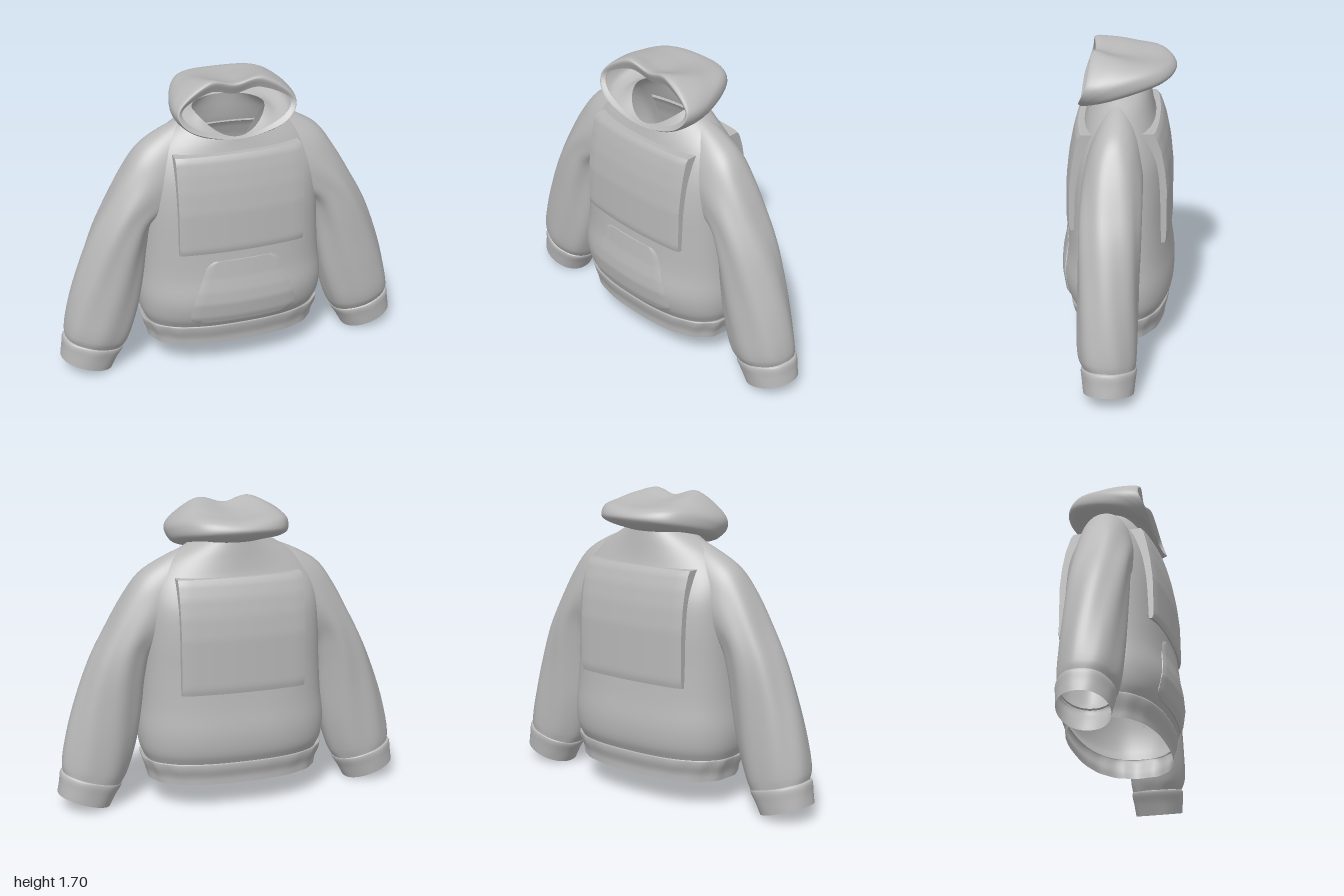
import * as THREE from 'three';

const N = 72; // points around every ring
const fabric = new THREE.MeshStandardMaterial({ color: 0xb8b8b8, side: THREE.DoubleSide });
fabric.name = 'grey fabric';

const V = (x, y, z) => new THREE.Vector3(x, y, z);
const angles = Array.from({ length: N }, (_, i) => (i / N) * Math.PI * 2);
const pow = (v, e) => Math.sign(v) * Math.abs(v) ** e;

// Linear lookup in a list of [key, value] pairs
function lookup(table, k) {
  for (let i = 1; i < table.length; i++) {
    const [a, va] = table[i - 1], [b, vb] = table[i];
    if (k <= b) return va + (vb - va) * Math.max(0, (k - a) / (b - a));
  }
  return table[table.length - 1][1];
}

// Adds in-between rings along a smooth curve through matching points
function smooth(rings, steps) {
  const columns = angles.map((_, i) => new THREE.CatmullRomCurve3(rings.map((r) => r[i])));
  const total = (rings.length - 1) * steps;
  return Array.from({ length: total + 1 }, (_, j) => columns.map((c) => c.getPoint(j / total)));
}

// Skin over closed rings, each running front -> left -> back -> right
function loft(name, rings) {
  const pos = [], idx = [];
  rings.forEach((r) => r.forEach((p) => pos.push(p.x, p.y, p.z)));
  for (let j = 0; j < rings.length - 1; j++) {
    for (let i = 0; i < N; i++) {
      const k = (i + 1) % N, a = j * N + i, b = j * N + k, c = b + N, d = a + N;
      idx.push(a, b, c, a, c, d);
    }
  }
  const geo = new THREE.BufferGeometry();
  geo.setAttribute('position', new THREE.Float32BufferAttribute(pos, 3));
  geo.setIndex(idx);
  geo.computeVertexNormals();
  const mesh = new THREE.Mesh(geo, fabric);
  mesh.name = name;
  return mesh;
}

// Horizontal body ring: height, half width, front z, back z, roundness, front drop, ripple
function bodyRing([y, w, front, back, n = 2.5, drop = 0, ripple = 0]) {
  return angles.map((a) => {
    const s = pow(Math.sin(a), 2 / n), c = pow(Math.cos(a), 2 / n);
    const k = 1 + ripple * Math.sin(a * 16) * Math.abs(Math.sin(a));
    return V(s * w * k, y - drop * Math.max(0, Math.cos(a)) ** 2, (c > 0 ? c * front : -c * back) * k);
  });
}

// Sleeve ring from its outer and inner points and its front and back z
function sleeveRing(side, [ox, oy, ix, iy, front, back, fold = 0]) {
  const mid = (front + back) / 2, half = (front - back) / 2;
  return angles.map((a) => {
    const k = 1 + fold * Math.sin(a * 7 + oy * 5);
    const s = Math.sin(a) * k;
    return V(side * ((ox + ix) / 2 + (s * (ox - ix)) / 2), (oy + iy) / 2 + (s * (oy - iy)) / 2,
      mid + half * pow(Math.cos(a), 0.9) * k);
  });
}

// Mirrored five-point ring: front, front quarter, side, back quarter, back
function hoodRing(points) {
  const p = points.map((q) => V(...q));
  const mirror = [3, 2, 1].map((i) => V(-p[i].x, p[i].y, p[i].z));
  const curve = new THREE.CatmullRomCurve3([...p, ...mirror], true, 'catmullrom', 0.5);
  return angles.map((_, i) => curve.getPoint(i / N));
}

// Sewn-on cloth piece: bowed plate with a z profile over its height,
// softened side edges and a border that reaches back to the body
function patch(name, dir, y0, y1, width, profile, depth, bow) {
  const geo = new THREE.BoxGeometry(2, 1, 1, 20, 30, 1);
  const p = geo.attributes.position;
  for (let i = 0; i < p.count; i++) {
    const u = p.getX(i), v = p.getY(i) + 0.5, y = y0 + (y1 - y0) * v;
    const x = u * lookup(width, v);
    const edge = Math.abs(u) > 0.99 ? 0.006 : 0;
    const inset = p.getZ(i) * dir > 0 ? edge : lookup(depth, v) * (0.5 + 0.5 * u * u);
    p.setXYZ(i, x, y, dir * (lookup(profile, y) - bow * (x / 0.355) ** 2 - inset));
  }
  geo.computeVertexNormals();
  const mesh = new THREE.Mesh(geo, fabric);
  mesh.name = name;
  return mesh;
}

export function createModel() {
  const group = new THREE.Group();
  group.name = 'hooded sweatshirt';

  // Body, from the hem seam up to the neckline
  const neck = [1.5, 0.2, 0.168, -0.17, 2, 0.115];
  group.add(loft('body', smooth([
    [0.275, 0.5, 0.255, -0.275],
    [0.34, 0.525, 0.292, -0.305],
    [0.45, 0.535, 0.313, -0.315],
    [0.6, 0.518, 0.288, -0.297, 2.6],
    [0.8, 0.503, 0.272, -0.28, 2.8],
    [1.0, 0.495, 0.258, -0.272, 2.9],
    [1.15, 0.49, 0.232, -0.255, 2.8],
    [1.25, 0.475, 0.205, -0.225, 2.5],
    [1.33, 0.435, 0.182, -0.197, 2.2],
    [1.4, 0.37, 0.172, -0.184, 1.9, 0.03],
    [1.46, 0.27, 0.17, -0.176, 1.9, 0.08],
    neck,
  ].map(bodyRing), 4)));

  // Gathered hem band
  group.add(loft('hem', smooth([
    [0.275, 0.5, 0.255, -0.275],
    [0.285, 0.522, 0.272, -0.288, 2.5, 0, 0.004],
    [0.25, 0.515, 0.268, -0.288, 2.5, 0, 0.012],
    [0.2, 0.495, 0.252, -0.272, 2.5, 0, 0.012],
    [0.157, 0.488, 0.248, -0.27, 2.5, 0, 0.008],
  ].map(bodyRing).reverse(), 3)));

  // Sleeves and cuffs
  for (const side of [1, -1]) {
    const label = side > 0 ? 'left' : 'right';
    const build = (name, rows) => {
      const rings = smooth(rows.map((r) => sleeveRing(side, r)), 4);
      group.add(loft(name, side > 0 ? rings : rings.reverse()));
    };
    build(label + 'Sleeve', [
      [0.965, 0.21, 0.645, 0.13, 0.15, -0.125],
      [0.97, 0.27, 0.61, 0.19, 0.178, -0.132, 0.015],
      [0.935, 0.45, 0.55, 0.38, 0.187, -0.135, 0.02],
      [0.873, 0.65, 0.515, 0.58, 0.187, -0.135, 0.025],
      [0.79, 0.86, 0.49, 0.77, 0.187, -0.14, 0.025],
      [0.705, 1.02, 0.45, 0.9, 0.182, -0.142, 0.025],
      [0.605, 1.2, 0.34, 0.96, 0.172, -0.145, 0.015],
      [0.515, 1.325, 0.23, 1.02, 0.155, -0.14],
      [0.39, 1.405, 0.14, 1.1, 0.125, -0.125],
      [0.24, 1.47, 0.08, 1.2, 0.08, -0.08],
    ]);
    build(label + 'Cuff', [
      [1.0, 0.1, 0.71, 0.004, 0.15, -0.12],
      [0.99, 0.16, 0.675, 0.07, 0.157, -0.127, 0.008],
      [0.98, 0.22, 0.64, 0.13, 0.162, -0.132, 0.008],
      [0.965, 0.228, 0.65, 0.142, 0.15, -0.122],
    ]);
  }

  // Hood: flares from the neckline, folds back and comes round to its rolled rim
  group.add(loft('hood', smooth([
    bodyRing(neck),
    ...[
      [[0, 1.38, 0.185], [0.19, 1.425, 0.165], [0.26, 1.475, 0.02], [0.18, 1.525, -0.19], [0, 1.53, -0.25]],
      [[0, 1.385, 0.198], [0.225, 1.425, 0.19], [0.32, 1.495, 0.03], [0.23, 1.565, -0.23], [0, 1.585, -0.31]],
      [[0, 1.39, 0.203], [0.25, 1.44, 0.195], [0.34, 1.535, 0.06], [0.24, 1.62, -0.2], [0, 1.622, -0.28]],
      [[0, 1.39, 0.206], [0.255, 1.445, 0.2], [0.342, 1.555, 0.1], [0.235, 1.65, -0.08], [0, 1.637, -0.13]],
      [[0, 1.39, 0.21], [0.258, 1.45, 0.205], [0.335, 1.565, 0.135], [0.2, 1.68, 0.04], [0, 1.652, 0.03]],
      [[0, 1.39, 0.214], [0.255, 1.45, 0.208], [0.322, 1.565, 0.168], [0.15, 1.692, 0.145], [0, 1.667, 0.13]],
      [[0, 1.395, 0.2], [0.235, 1.465, 0.185], [0.3, 1.56, 0.155], [0.14, 1.635, 0.125], [0, 1.605, 0.105]],
    ].map(hoodRing),
  ], 5)));

  // Large panels on chest and back
  group.add(patch('chestPanel', 1, 0.755, 1.31, [[0, 0.355], [1, 0.355]],
    [[0.755, 0.284], [0.78, 0.292], [1.0, 0.288], [1.12, 0.274], [1.22, 0.255], [1.29, 0.237], [1.31, 0.222]],
    [[0, 0.04], [0.6, 0.045], [1, 0.085]], 0.028));
  group.add(patch('backPanel', -1, 0.69, 1.32, [[0, 0.35], [1, 0.35]],
    [[0.69, 0.292], [0.72, 0.3], [1.0, 0.3], [1.12, 0.288], [1.22, 0.268], [1.3, 0.24], [1.32, 0.225]],
    [[0, 0.045], [0.6, 0.045], [1, 0.09]], 0.025));

  // Front pouch pocket with slanted sides
  group.add(patch('pouchPocket', 1, 0.32, 0.7,
    [[0, 0.255], [0.04, 0.295], [0.1, 0.305], [0.25, 0.3], [0.4, 0.285], [0.9, 0.212], [0.96, 0.195], [1, 0.165]],
    [[0.32, 0.292], [0.36, 0.308], [0.45, 0.322], [0.52, 0.316], [0.6, 0.3], [0.7, 0.288]],
    [[0, 0.018], [1, 0.018]], 0.042));

  return group;
}
